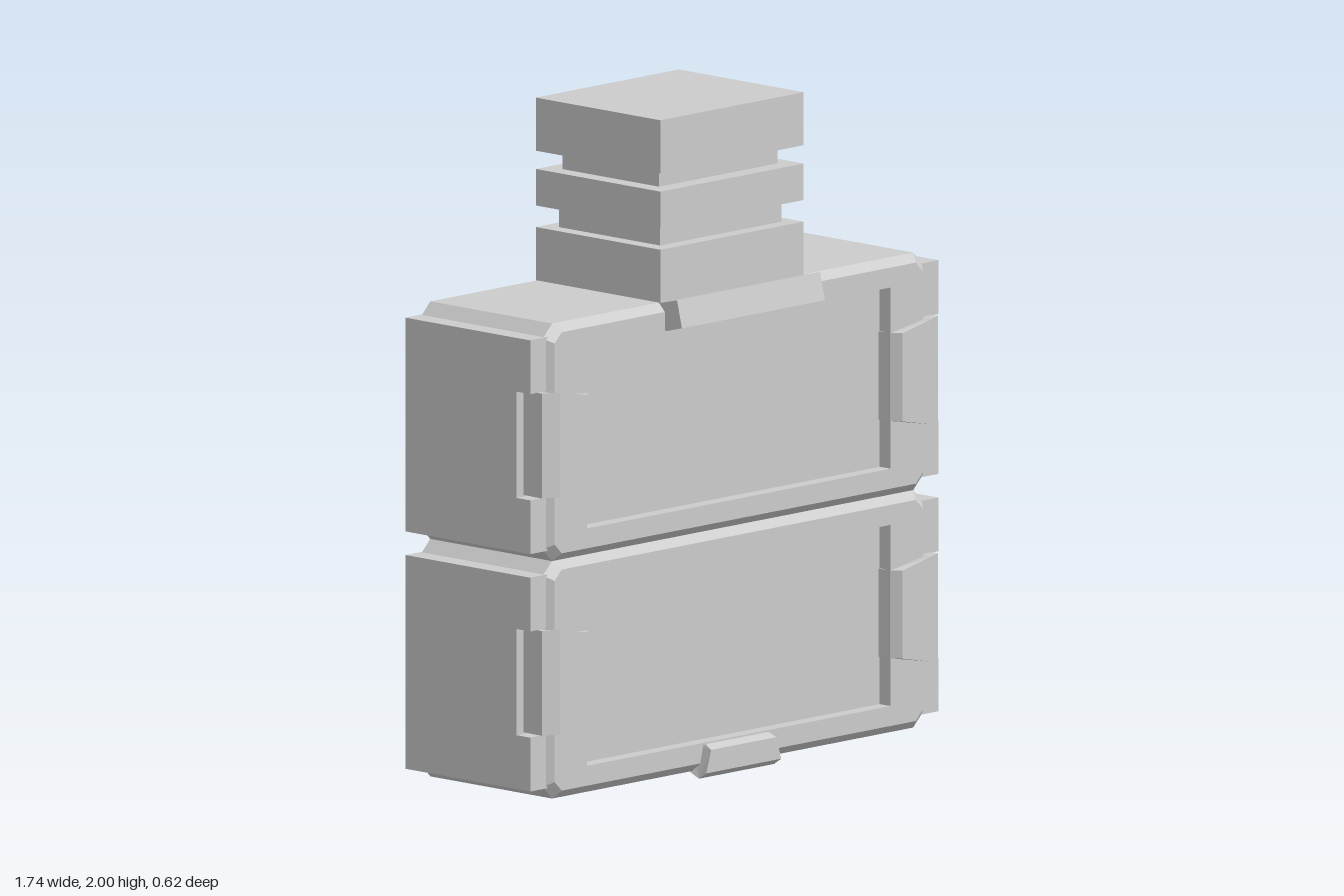
import * as THREE from 'three';

const material = new THREE.MeshStandardMaterial({ color: 0xcccccc, flatShading: true });

function add(parent, name, geometry) {
  const mesh = new THREE.Mesh(geometry, material);
  mesh.name = name;
  parent.add(mesh);
  return mesh;
}

function block(parent, name, x0, x1, y0, y1, z0, z1) {
  const mesh = add(parent, name, new THREE.BoxGeometry(x1 - x0, y1 - y0, z1 - z0));
  mesh.position.set((x0 + x1) / 2, (y0 + y1) / 2, (z0 + z1) / 2);
  return mesh;
}

function polygon(points) {
  return new THREE.Shape(points.map(([x, y]) => new THREE.Vector2(x, y)));
}

// Extrudes a (z, y) outline along x, from x0 to x1
function extrudeAlongX(points, x0, x1) {
  const g = new THREE.ExtrudeGeometry(polygon(points.map(([z, y]) => [-z, y])), { depth: x1 - x0, bevelEnabled: false });
  return g.rotateY(Math.PI / 2).translate(x0, 0, 0);
}

// Lofts eight-cornered rings [halfWidth, halfHeight, cornerCut, z], closed at both ends
function loftRings(rings) {
  const positions = [];
  const index = [];
  for (const [w, h, c, z] of rings) {
    const corners = [[w, h - c], [w - c, h], [c - w, h], [-w, h - c], [-w, c - h], [c - w, -h], [w - c, -h], [w, c - h]];
    for (const [x, y] of corners) positions.push(x, y, z);
  }
  const last = (rings.length - 1) * 8;
  for (let r = 0; r < last; r += 8) {
    for (let i = 0; i < 8; i++) {
      const j = (i + 1) % 8;
      index.push(r + i, r + j, r + 8 + j, r + i, r + 8 + j, r + 8 + i);
    }
  }
  for (let i = 1; i < 7; i++) {
    index.push(0, i + 1, i, last, last + i, last + i + 1);
  }
  const g = new THREE.BufferGeometry();
  g.setAttribute('position', new THREE.Float32BufferAttribute(positions, 3));
  g.setIndex(index);
  const flat = g.toNonIndexed();
  flat.computeVertexNormals();
  return flat;
}

// Side clip: bent plate that narrows towards the middle of the case
function clipGeometry(side) {
  const outline = [[0.64, 0.17], [0.84, 0.165], [0.845, 0.245], [0.79, 0.268], [0.67, 0.268], [0.65, 0.24]];
  const shape = polygon(outline.map(([x, z]) => [x * side, -z]));
  const g = new THREE.ExtrudeGeometry(shape, { depth: 0.316, bevelEnabled: false });
  g.rotateX(-Math.PI / 2).translate(0, -0.158, 0);
  const p = g.attributes.position;
  for (let i = 0; i < p.count; i++) {
    const t = THREE.MathUtils.clamp((0.79 - Math.abs(p.getX(i))) / 0.12, 0, 1);
    p.setY(i, p.getY(i) * (1 - 0.16 * t));
  }
  g.computeVertexNormals();
  return g;
}

function createUnit(name, y) {
  const unit = new THREE.Group();
  unit.name = name;
  unit.position.y = y;

  // Chamfered case with a sunken front panel
  add(unit, 'case', loftRings([
    [0.785, 0.333, 0.03, -0.31],
    [0.81, 0.358, 0.04, -0.285],
    [0.81, 0.358, 0.04, 0.215],
    [0.785, 0.333, 0.03, 0.24],
    [0.648, 0.273, 0, 0.24],
    [0.648, 0.273, 0, 0.195],
  ]));

  // End caps, notched at the front for the clips
  const cap = [
    [-0.29, -0.322], [0.222, -0.322], [0.222, -0.16], [0.165, -0.16],
    [0.165, 0.16], [0.222, 0.16], [0.222, 0.322], [-0.29, 0.322],
  ];
  for (const side of [1, -1]) {
    const label = side > 0 ? 'left' : 'right';
    add(unit, label + 'EndCap', extrudeAlongX(cap, side > 0 ? 0.77 : -0.87, side > 0 ? 0.87 : -0.77));
    add(unit, label + 'Clip', clipGeometry(side)).position.y = 0.003;
  }
  return unit;
}

export function createModel() {
  const model = new THREE.Group();
  model.name = 'stackedCase';
  model.add(createUnit('lowerUnit', 0.377), createUnit('upperUnit', 1.092));

  // Ribbed neck: wide collars with narrow grooves between them
  const neck = new THREE.Group();
  neck.name = 'neck';
  model.add(neck);
  for (const [y0, y1] of [[1.43, 1.61], [1.675, 1.785], [1.84, 2]]) {
    block(neck, 'collar', -0.315, 0.295, y0, y1, -0.29, 0.222);
  }
  block(neck, 'lowerGroove', -0.268, 0.25, 1.6, 1.68, -0.24, 0.175);
  block(neck, 'upperGroove', -0.262, 0.243, 1.78, 1.845, -0.232, 0.165);

  // Tilted lip on the upper front edge
  const lip = [[0.222, 1.45], [0.242, 1.367], [0.31, 1.385], [0.29, 1.467]];
  add(model, 'frontLip', extrudeAlongX(lip, -0.315, 0.295));

  // Bottom latch, narrower towards the top
  const latch = [[0.2, 0.02], [0.245, 0], [0.275, 0.02], [0.275, 0.088], [0.25, 0.1], [0.2, 0.1]];
  const g = extrudeAlongX(latch, -0.16, 0.16);
  const p = g.attributes.position;
  for (let i = 0; i < p.count; i++) {
    const t = THREE.MathUtils.clamp((p.getY(i) - 0.03) / 0.07, 0, 1);
    p.setX(i, p.getX(i) * (1 - 0.16 * t));
  }
  g.computeVertexNormals();
  add(model, 'bottomLatch', g).position.x = -0.015;

  return model;
}
